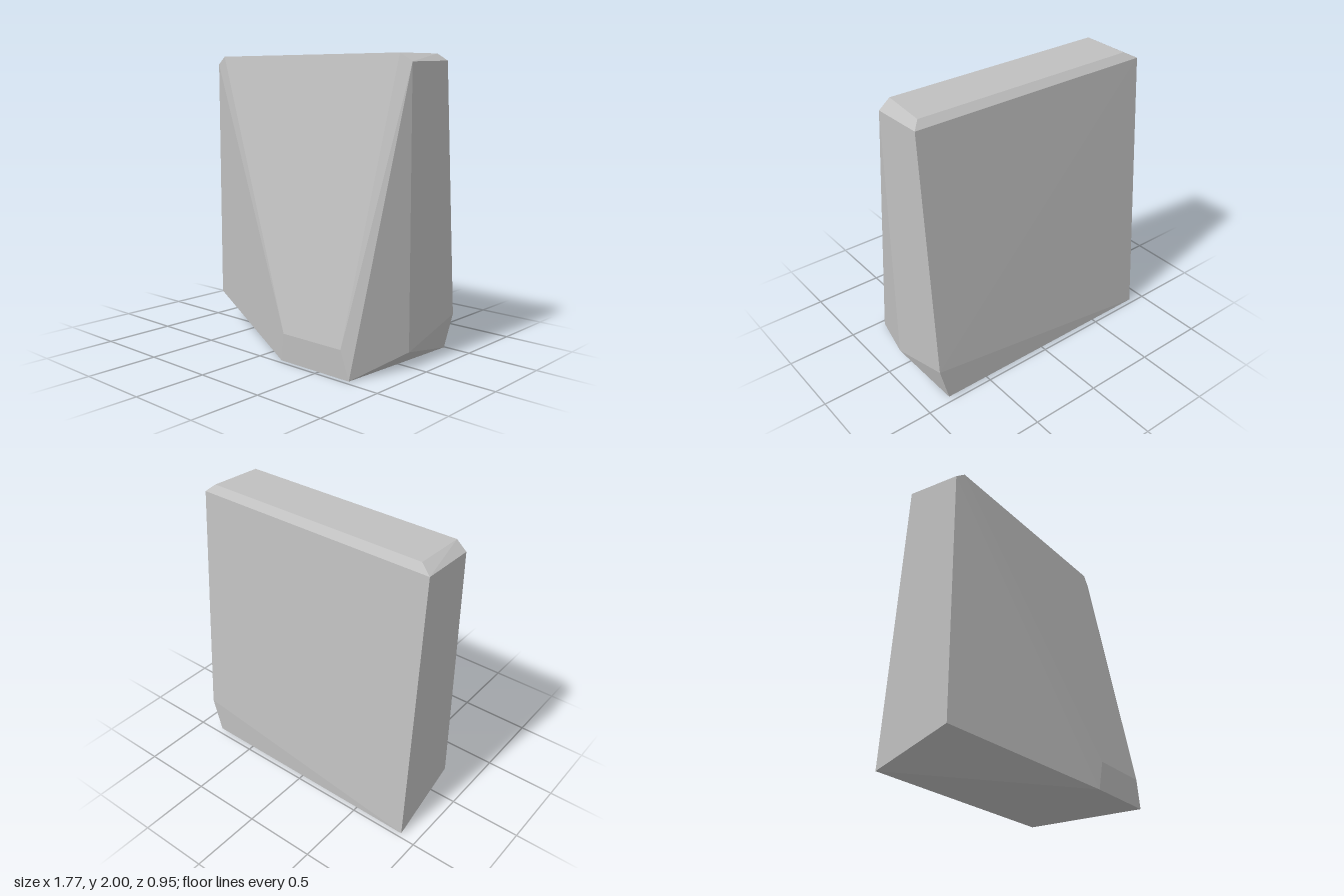
import * as THREE from 'three';
import { ConvexGeometry } from 'three/addons/geometries/ConvexGeometry.js';

export function createModel() {
  const group = new THREE.Group();
  group.name = 'rock';
  const stoneGrey = new THREE.MeshStandardMaterial({ color: 0xc0c0c0 });
  stoneGrey.name = 'stoneGrey';

  // Corners of the faceted slab; the convex hull gives its flat faces
  const corners = [
    // flat top
    [-0.81, 2, 0.06], [0.80, 2, 0.06], [0.835, 2, -0.29], [-0.80, 2, -0.29],
    // shoulders just below the top
    [-0.885, 1.945, 0.05], [0.885, 1.945, 0.045],
    [0.885, 1.955, -0.335], [-0.885, 1.955, -0.335],
    // protruding front foot
    [0.20, 0.19, 0.475], [0.69, 0.19, 0.475], [0.75, 0, 0.465], [0.17, 0, 0.465],
    // lower +x side, cut in towards the base
    [0.885, 0.11, 0.03], [0.885, 0.26, -0.467], [0.82, 0.01, -0.465],
    // lower -x side
    [-0.88, 0.21, 0.05], [-0.885, 0.01, -0.475],
  ].map((c) => new THREE.Vector3(...c));

  const slab = new THREE.Mesh(new ConvexGeometry(corners), stoneGrey);
  slab.name = 'stoneSlab';
  group.add(slab);
  return group;
}
